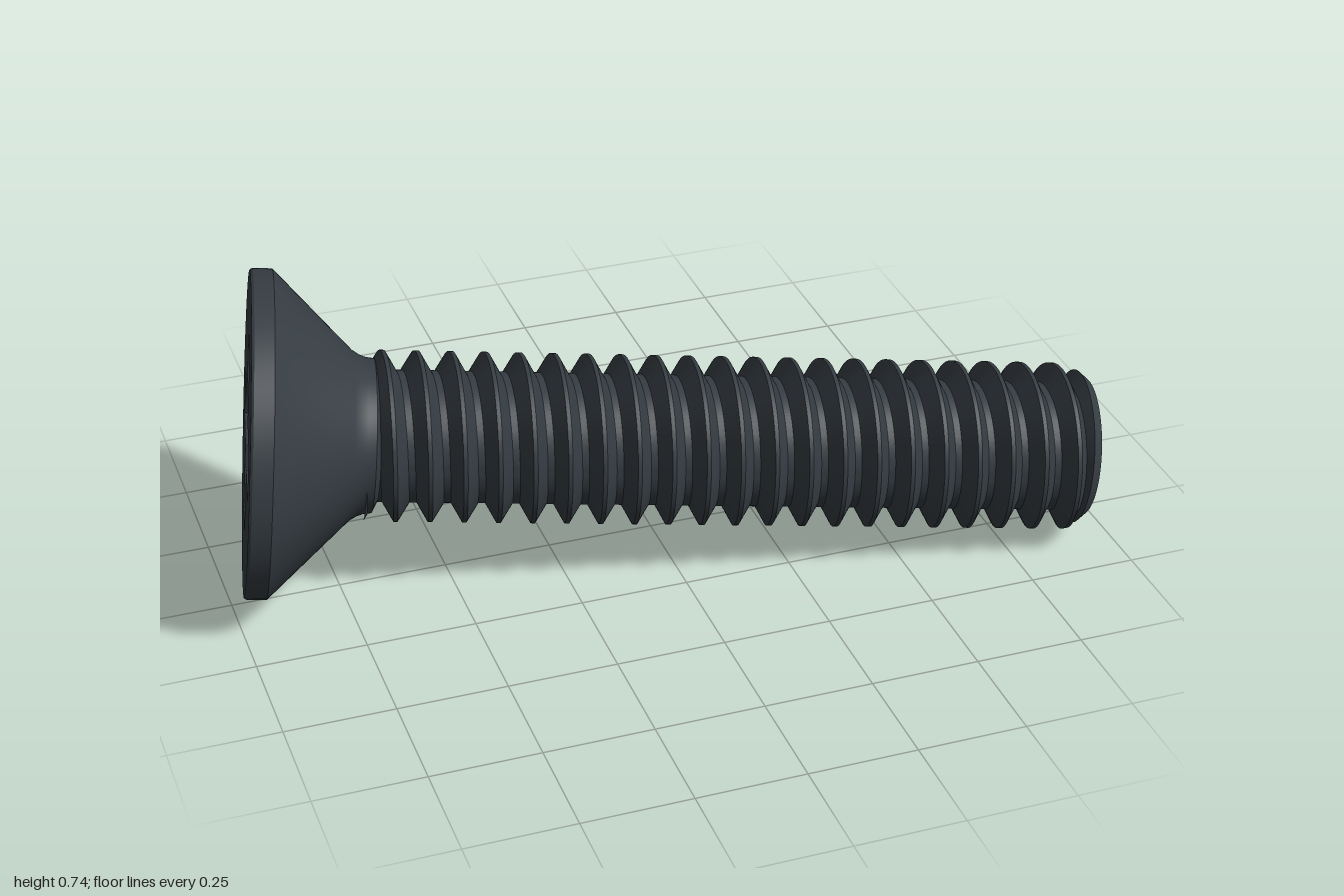
import * as THREE from 'three';
import { toCreasedNormals } from 'three/addons/utils/BufferGeometryUtils.js';

const SEG = 96;
const LENGTH = 1.927;         // head face to tip
const PITCH = 0.0775;
const ROOT = 0.149, CREST = 0.193;
const HEAD_R = 0.37;

// Built along +Y: the head face lies at y = 0 and looks down, the tip is at y = LENGTH.
export function createModel() {
  const steel = new THREE.MeshStandardMaterial({ color: 0x353c42 });
  steel.name = 'dark steel';
  const screw = new THREE.Group();
  screw.name = 'screw';

  const add = (name, geometry) => {
    const mesh = new THREE.Mesh(geometry, steel);
    mesh.name = name;
    screw.add(mesh);
  };
  const lathe = (pts) => toCreasedNormals(
    new THREE.LatheGeometry(pts.map(([r, y]) => new THREE.Vector2(r, y)), SEG), 0.5);

  // Countersunk head with a short neck
  add('head', lathe([[HEAD_R - 0.004, 0], [HEAD_R, 0.006], [HEAD_R, 0.05], [0.192, 0.23],
    [0.182, 0.246], [0.176, 0.262], [0.174, 0.28], [ROOT, 0.292]]));

  // Flat head face with a cross-shaped opening
  const top = crossOutline(0.22, 0.06);
  const bottom = crossOutline(0.09, 0.042);
  const face = new THREE.Shape();
  face.absarc(0, 0, HEAD_R - 0.004, 0, Math.PI * 2, false);
  face.holes.push(new THREE.Path(top.slice().reverse()));
  add('headFace', new THREE.ShapeGeometry(face, SEG).rotateX(Math.PI / 2));

  // Tapered driver recess
  add('driveRecess', recessGeometry(top, bottom, 0.15));

  // Threaded shaft
  add('thread', threadGeometry(0.262, LENGTH - 0.01));

  // Chamfered tip
  add('tipChamfer', lathe([[ROOT, 1.885], [0.178, 1.905], [0.16, LENGTH]]));
  add('tipFace', new THREE.CircleGeometry(0.16, SEG).rotateX(-Math.PI / 2).translate(0, LENGTH, 0));

  // Lay the screw down on its head rim and tip
  const axis = new THREE.Vector3(0.974, -0.0925, 0.2075).normalize();
  const up = new THREE.Vector3(0, 1, 0).addScaledVector(axis, -axis.y).normalize();
  const side = new THREE.Vector3().crossVectors(up, axis);
  screw.quaternion.setFromRotationMatrix(new THREE.Matrix4().makeBasis(up, axis, side));
  screw.position.set(-0.916, 0.369, -0.11);

  const model = new THREE.Group();
  model.name = 'countersunkScrew';
  model.add(screw);
  return model;
}

// Twelve corners of a cross with the given arm length and half width
function crossOutline(len, half) {
  const pts = [];
  for (let i = 0; i < 4; i++) {
    for (const [x, y] of [[len, -half], [len, half], [half, half]]) {
      pts.push(new THREE.Vector2(x, y).rotateAround(new THREE.Vector2(), i * Math.PI / 2 + 0.06));
    }
  }
  return pts;
}

// Walls between two cross outlines, and the floor
function recessGeometry(top, bottom, depth) {
  const pos = [];
  const n = top.length;
  for (let i = 0; i < n; i++) {
    const j = (i + 1) % n;
    const a = [top[i].x, 0, top[i].y], b = [top[j].x, 0, top[j].y];
    const c = [bottom[i].x, depth, bottom[i].y], d = [bottom[j].x, depth, bottom[j].y];
    pos.push(...a, ...b, ...c, ...b, ...d, ...c);
    pos.push(0, depth, 0, ...c, ...d);
  }
  const g = new THREE.BufferGeometry();
  g.setAttribute('position', new THREE.Float32BufferAttribute(pos, 3));
  g.computeVertexNormals();
  return g;
}

// Right-handed helical thread: rows follow the helix and are clamped at both ends
function threadGeometry(start, end) {
  const steps = [0, 0.1, 0.21, 0.32, 0.44, 0.56, 0.68, 0.79, 0.9];
  const phase = 1.853 - PITCH / 2;               // a root line at angle zero
  const first = Math.floor((start - phase) / PITCH) - 1;
  const turns = Math.ceil((end - start) / PITCH) + 3;

  const radius = (y, f) => {
    const rise = THREE.MathUtils.clamp((0.5 - Math.abs(f - 0.5) - 0.1) / 0.34, 0, 1);
    const r = ROOT + (CREST - ROOT) * rise;
    return Math.min(r, 0.16 + (LENGTH - y) * 0.8); // cut by the tip chamfer
  };

  const pos = [], index = [];
  const rows = turns * steps.length;
  for (let j = 0; j < rows; j++) {
    const f = steps[j % steps.length];
    const base = phase + PITCH * (first + Math.floor(j / steps.length) + f);
    for (let i = 0; i <= SEG; i++) {
      const a = i / SEG * Math.PI * 2;
      const raw = base + PITCH * i / SEG;
      const y = THREE.MathUtils.clamp(raw, start, end);
      // the clamped rows take the profile found at the end itself
      const turn = f + (y - raw) / PITCH;
      const r = radius(y, turn - Math.floor(turn));
      pos.push(r * Math.cos(a), y, -r * Math.sin(a));
      if (j < rows - 1 && i < SEG) {
        const p = j * (SEG + 1) + i, q = p + SEG + 1;
        index.push(p, p + 1, q, p + 1, q + 1, q);
      }
    }
  }
  const g = new THREE.BufferGeometry();
  g.setAttribute('position', new THREE.Float32BufferAttribute(pos, 3));
  g.setIndex(index);
  return toCreasedNormals(g, 0.5);
}
